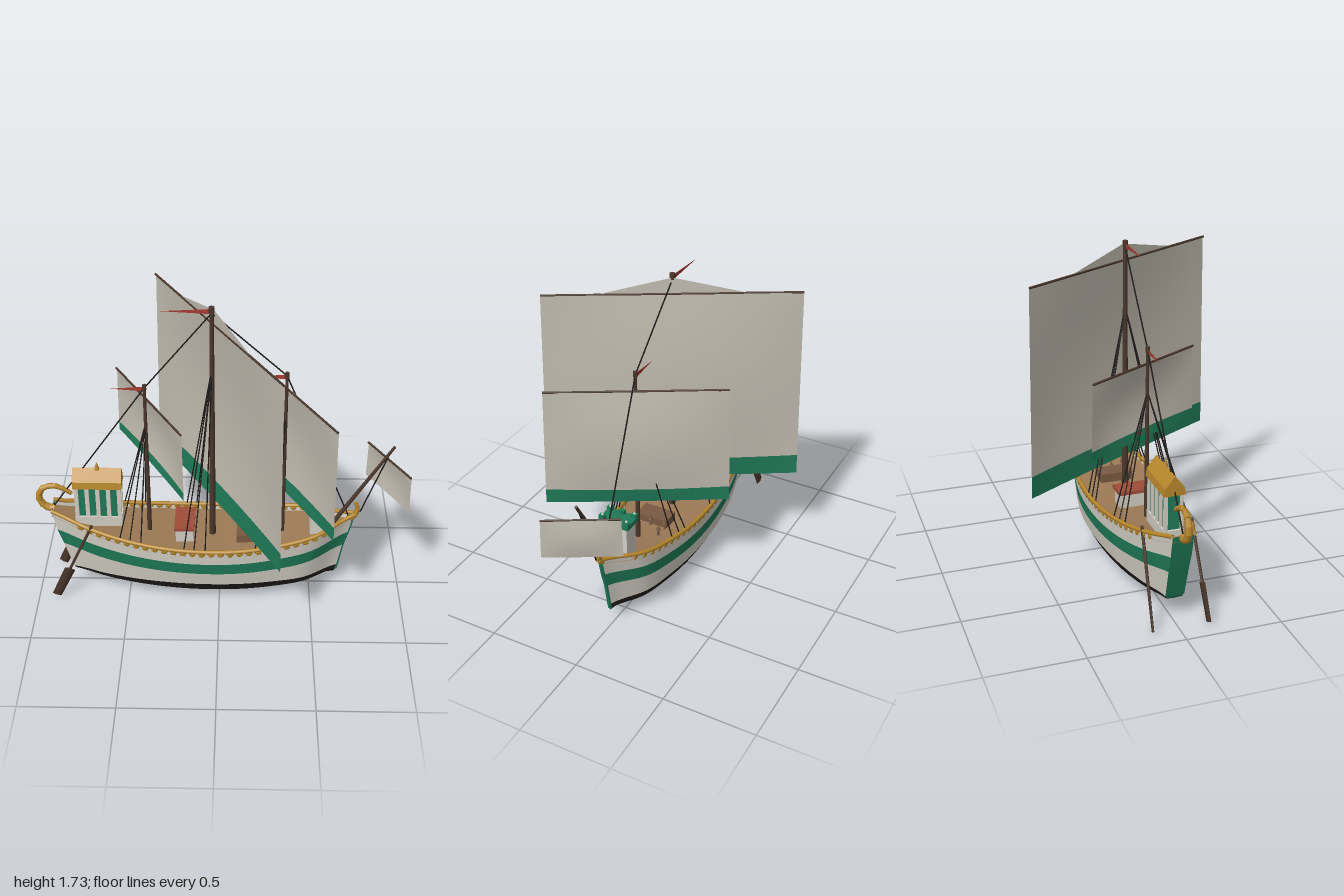
import * as THREE from 'three';

const V = (x, y, z = 0) => new THREE.Vector3(x, y, z);
const paint = (color, flat = false) => {
  const m = new THREE.MeshStandardMaterial({ side: THREE.DoubleSide, flatShading: flat });
  m.color.set(color);
  return m;
};
const white = paint(0xd2cec4), green = paint(0x1f7a58), black = paint(0x221f1d), gold = paint(0xb8882c);
const deckTan = paint(0x9c7a56), wood = paint(0x4a372c), plank = paint(0x7a5a42), red = paint(0xa83c32);
const tile = paint(0xa04c3a), cloth = paint(0xc2bcb0), rope = paint(0x1e1a18);

// Surface from a rule f(u, v) with u and v in 0..1
function sheet(nu, nv, f) {
  const pos = [], idx = [];
  for (let j = 0; j <= nv; j++) for (let i = 0; i <= nu; i++) pos.push(...f(i / nu, j / nv).toArray());
  for (let j = 0; j < nv; j++) for (let i = 0; i < nu; i++) {
    const a = j * (nu + 1) + i, b = a + nu + 1;
    idx.push(a, a + 1, b + 1, a, b + 1, b);
  }
  const g = new THREE.BufferGeometry();
  g.setAttribute('position', new THREE.Float32BufferAttribute(pos, 3));
  g.setIndex(idx);
  g.computeVertexNormals();
  return g;
}

// Hull levels: stern x, bow x, midship y, rise at the ends, width factor
const levels = {
  keel: [-0.79, 0.64, 0.02, 0.09, 0],
  bilge: [-0.80, 0.643, 0.075, 0.045, 0.74],
  water: [-0.81, 0.65, 0.14, 0, 0.9],
  low: [-0.855, 0.675, 0.22, 0.08, 0.95],
  high: [-0.885, 0.70, 0.29, 0.105, 0.98],
  sheer: [-0.91, 0.725, 0.375, 0.14, 1],
};
const plan = new THREE.SplineCurve([0.055, 0.125, 0.175, 0.205, 0.218, 0.213, 0.185, 0.135, 0.012]
  .map((w, i) => new THREE.Vector2(i, w)));
function hullPoint(name, t, side, dy = 0, dw = 0) {
  const [xs, xe, y, rise, k] = levels[name];
  const u = (-0.91 + 1.635 * t + 0.04) / 0.87;
  return V(xs + (xe - xs) * t, y + rise * Math.pow(Math.abs(u), 2.1) + dy, side * (plan.getPoint(t).y * k + dw));
}
const sheerT = x => (x + 0.91) / 1.635;
const deckY = x => hullPoint('sheer', sheerT(x), 1, -0.03).y;

export function createModel() {
  const model = new THREE.Group(), ship = new THREE.Group();
  ship.name = 'ship';
  ship.position.z = 0.008;
  model.add(ship);

  const add = (name, geo, mat, x = 0, y = 0, z = 0) => {
    const m = new THREE.Mesh(geo, mat);
    m.name = name;
    m.position.set(x, y, z);
    ship.add(m);
    return m;
  };
  const box = (name, mat, w, h, d, x, y, z = 0) => add(name, new THREE.BoxGeometry(w, h, d), mat, x, y, z);
  const rod = (name, mat, a, b, r0, r1 = r0, sides = 8) => {
    const m = add(name, new THREE.CylinderGeometry(r1, r0, a.distanceTo(b), sides), mat);
    m.position.copy(a).lerp(b, 0.5);
    m.quaternion.setFromUnitVectors(V(0, 1, 0), b.clone().sub(a).normalize());
    return m;
  };
  const tube = (name, mat, pts, r, n = 40) =>
    add(name, new THREE.TubeGeometry(new THREE.CatmullRomCurve3(pts), n, r, 8), mat);

  // Hull planking in painted bands
  const bands = [['keel', 'bilge', black], ['bilge', 'water', black], ['water', 'low', white],
    ['low', 'high', green], ['high', 'sheer', white]];
  for (const s of [1, -1]) for (const [a, b, mat] of bands) {
    add('hullBand', sheet(48, 3, (u, v) => hullPoint(a, u, s).lerp(hullPoint(b, u, s), v)), mat);
  }
  // Transom and bow closure
  const order = Object.keys(levels);
  for (const [t, name] of [[0, 'transom'], [1, 'bowCap']]) {
    add(name, sheet(1, 5, (u, v) => hullPoint(order[Math.round(v * 5)], t, u * 2 - 1)), green);
  }
  tube('stem', green, ['bilge', 'water', 'low', 'high', 'sheer'].map(n => hullPoint(n, 1, 0)), 0.011);
  add('deck', sheet(48, 2, (u, v) => hullPoint('sheer', u, v * 2 - 1, -0.03)), deckTan);

  // Gunwale with scalloped trim
  for (const s of [1, -1]) {
    const line = Array.from({ length: 25 }, (_, i) => hullPoint('sheer', i / 24, s, 0.004));
    tube('gunwale', gold, line, 0.011, 72);
    for (let i = 0; i < 27; i++) {
      const scallop = add('scallop', new THREE.SphereGeometry(0.019, 10, 8), gold);
      scallop.position.copy(hullPoint('sheer', 0.1 + 0.8 * i / 26, s, -0.01));
      scallop.scale.z = 0.4;
    }
  }

  // Curled stern and bow ornaments
  const curl = new THREE.CatmullRomCurve3([V(-0.9, 0.5), V(-0.95, 0.515), V(-0.98, 0.57), V(-0.96, 0.63),
    V(-0.9, 0.652), V(-0.84, 0.63), V(-0.8, 0.6)]);
  for (let i = 0; i < 10; i++) {
    const r = 0.023 - 0.0011 * i;
    rod('sternCurl', gold, curl.getPoint(i / 10), curl.getPoint((i + 1.15) / 10 > 1 ? 1 : (i + 1.15) / 10), r, r * 0.8);
  }
  const prow = new THREE.CatmullRomCurve3([V(0.7, 0.455), V(0.735, 0.48), V(0.745, 0.53), V(0.73, 0.565)]);
  for (let i = 0; i < 5; i++) rod('bowCurl', gold, prow.getPoint(i / 5), prow.getPoint((i + 1) / 5), 0.019 - i * 0.002, 0.017 - i * 0.002);

  // Stern cabin with posts, panels and gable roof
  box('cabinWalls', green, 0.23, 0.24, 0.076, -0.655, 0.55);
  box('cabinBase', white, 0.255, 0.06, 0.1, -0.655, 0.45);
  for (const s of [1, -1]) for (let i = 0; i < 5; i++) {
    box('cabinPost', white, 0.022, 0.2, 0.016, -0.77 + i * 0.0575, 0.57, s * 0.04);
  }
  const gable = new THREE.Shape([[-0.056, 0], [0.056, 0], [0.05, 0.04], [0, 0.105], [-0.05, 0.04]]
    .map(p => new THREE.Vector2(...p)));
  add('cabinRoof', new THREE.ExtrudeGeometry(gable, { depth: 0.262, bevelEnabled: false }), gold, -0.787, 0.667)
    .rotation.y = Math.PI / 2;
  add('roofFinial', new THREE.ConeGeometry(0.016, 0.05, 8), gold, -0.655, 0.785);

  // Bow castle with studded green roof
  box('bowHouse', white, 0.09, 0.21, 0.145, 0.535, 0.495);
  box('bowHouseRoof', green, 0.108, 0.025, 0.17, 0.535, 0.606);
  for (const x of [-0.04, 0.04]) for (const z of [-0.07, 0, 0.07]) {
    box('battlement', green, 0.024, 0.022, 0.03, 0.535 + x, 0.627, z);
    if (z) add('stud', new THREE.SphereGeometry(0.007, 8, 6), white, 0.535 + x, 0.64, z);
  }

  // Deck hatches and pins
  box('hatchWalls', white, 0.095, 0.08, 0.18, -0.19, 0.39);
  box('hatchLid', tile, 0.11, 0.018, 0.2, -0.19, 0.436);
  box('cargoHatch', plank, 0.1, 0.05, 0.18, 0.143, deckY(0.143) + 0.022);
  for (const [x, z] of [[0.205, -0.085], [0.205, 0.085], [0.205, 0], [0.275, -0.085], [0.275, 0.085]]) {
    rod('pinPost', plank, V(x, deckY(x), z), V(x, deckY(x) + 0.04, z), 0.006);
    add('pinHead', new THREE.ConeGeometry(0.013, 0.03, 8), plank, x, deckY(x) + 0.05, z);
  }

  // Steering oars
  for (const s of [1, -1]) {
    const top = V(-0.685, 0.48, s * 0.13), neck = V(-0.82, 0.19, s * 0.14), tip = V(-0.903, 0.012, s * 0.146);
    rod('oarShaft', wood, top, neck, 0.008);
    rod('oarBlade', wood, neck, tip, 0.03, 0.026, 4).scale.z = 0.25;
  }

  // Square sails, set at an angle to the hull
  const along = V(0.5, 0, 0.866), ahead = V(0.866, 0, -0.5);
  function sail(x, half, yTop, yBottom, hem, belly, y0 = yTop) {
    const at = (s, y) => {
      const v = (yTop - y) / (yTop - yBottom);
      const bulge = 0.02 + belly * (1 - s * s) * (0.15 + 0.85 * Math.sin(Math.PI * v));
      return V(x, y).addScaledVector(along, s * half * (1 + 0.03 * v)).addScaledVector(ahead, bulge);
    };
    const part = (a, b) => sheet(16, 12, (u, v) => at(u * 2 - 1, a + (b - a) * v));
    add('sail', part(yTop, yBottom + hem), cloth);
    if (hem) add('sailHem', part(yBottom + hem, yBottom), green);
    const c = V(x, y0).addScaledVector(ahead, 0.016);
    rod('yard', wood, c.clone().addScaledVector(along, -half), c.clone().addScaledVector(along, half), 0.006);
  }
  sail(-0.04, 0.655, 1.628, 0.545, 0.115, 0.045);
  sail(-0.387, 0.375, 1.192, 0.797, 0.048, 0.03);
  sail(0.335, 0.458, 1.262, 0.61, 0.08, 0.035);
  sail(0.88, 0.193, 0.837, 0.62, 0, 0.015);
  const peak = V(-0.04, 1.715).addScaledVector(ahead, 0.012), foot = V(-0.04, 1.628).addScaledVector(ahead, 0.016);
  add('topsail', sheet(8, 4, (u, v) => foot.clone().addScaledVector(along, (u * 2 - 1) * 0.38).lerp(peak, v)), cloth);

  // Masts, pennants and shrouds: x, top, base radius, pennant length
  const masts = [[-0.385, 1.285, 0.013, 0.175], [-0.04, 1.73, 0.018, 0.26], [0.34, 1.365, 0.013, 0.17]];
  for (const [x, top, r, len] of masts) {
    rod('mast', wood, V(x, 0.32), V(x, top), r, r * 0.6, 12);
    add('mastCap', new THREE.CylinderGeometry(r * 0.85, r * 0.85, 0.03, 10), wood, x, top - 0.012);
    const tri = new THREE.Shape([[0, 0.014], [-len, 0], [0, -0.014]].map(p => new THREE.Vector2(...p)));
    add('pennant', new THREE.ShapeGeometry(tri), red, x, top - 0.022);
    const high = 0.36 + (top - 0.36) * 0.75;
    for (const s of [1, -1]) for (const dx of [-0.15, -0.095, -0.035]) {
      rod('shroud', rope, V(x, high), hullPoint('sheer', sheerT(x + dx), s), 0.0035, 0.0035, 5);
    }
  }

  // Bowsprit and stays
  rod('bowsprit', wood, V(0.62, 0.43), V(0.915, 0.925), 0.013, 0.008);
  const stays = [[V(-0.04, 1.7), V(-0.385, 1.27)], [V(-0.385, 1.27), V(-0.9, 0.52)], [V(-0.04, 1.7), V(0.34, 1.35)],
    [V(0.34, 1.35), V(0.7, 0.47)], [V(0.895, 0.89), V(0.76, 0.5)]];
  for (const [a, b] of stays) rod('stay', rope, a, b, 0.004, 0.004, 5);

  return model;
}
